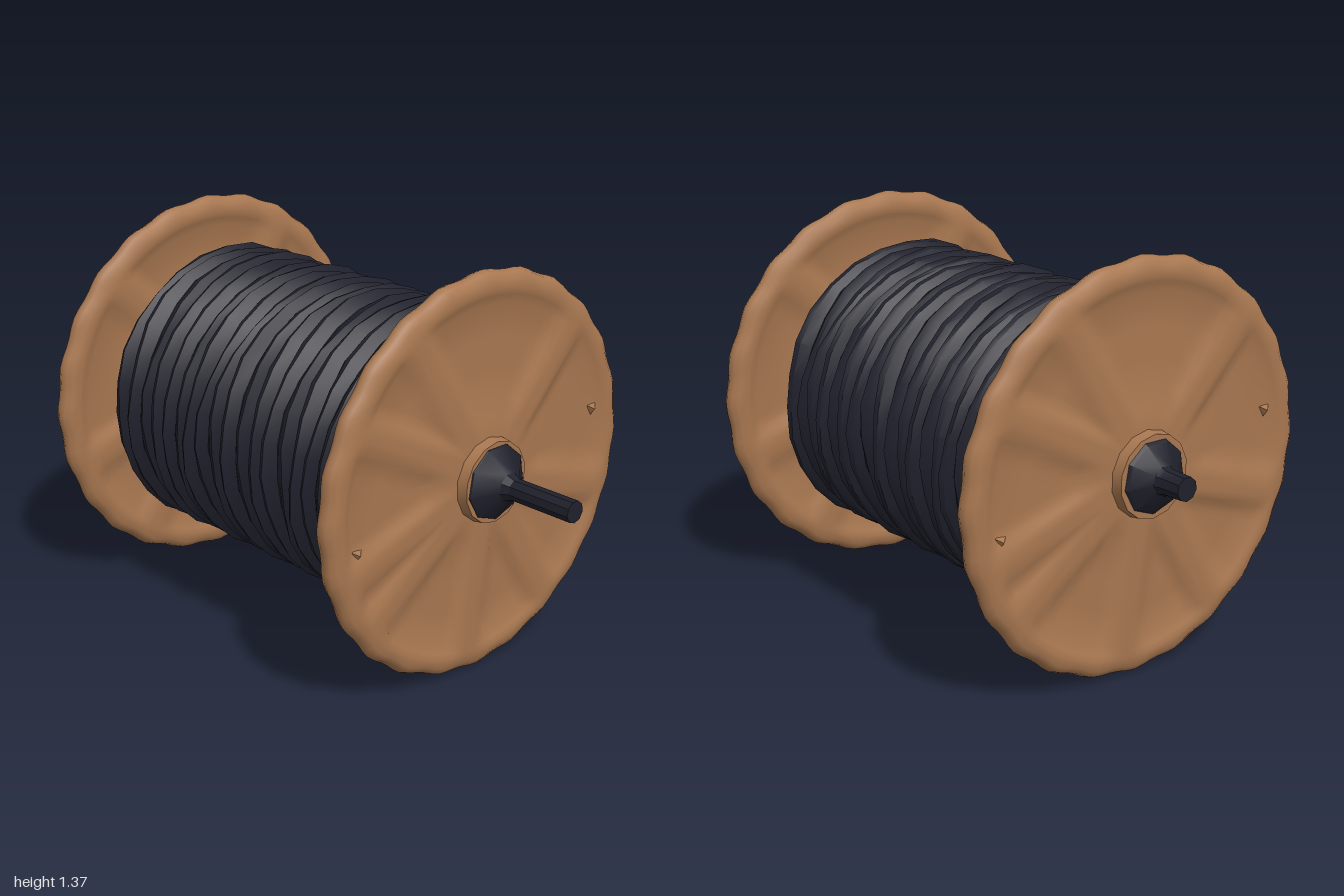
import * as THREE from 'three';
import { toCreasedNormals } from 'three/addons/utils/BufferGeometryUtils.js';

const AXIS_Y = 0.685;
const RAD = Math.PI / 180;

// Solid of revolution about z from [radius, z] points listed in rising z.
// An optional rule moves each vertex: rule(position, radius, angle).
function turned(points, sides, crease, rule) {
  const profile = points.map(([r, z]) => new THREE.Vector2(r, z));
  const geo = new THREE.LatheGeometry(profile, sides).rotateX(Math.PI / 2);
  if (rule) {
    const pos = geo.attributes.position;
    const p = new THREE.Vector3();
    for (let i = 0; i < pos.count; i++) {
      p.fromBufferAttribute(pos, i);
      rule(p, Math.hypot(p.x, p.y), Math.atan2(p.y, p.x));
      pos.setXYZ(i, p.x, p.y, p.z);
    }
  }
  return toCreasedNormals(geo, crease);
}

const smooth = THREE.MathUtils.smoothstep;

// Irregularly spaced spokes, in degrees
const SPOKES = [46, 121, 152, 198, 217, 264, 302, 342];

// Sink the panels between hub, rim and spokes on both faces of a flange
function sinkPanels(p, r, angle) {
  let gap = 180;
  for (const s of SPOKES) {
    const d = Math.abs(((angle / RAD - s + 540) % 360 + 360) % 360 - 180);
    gap = Math.min(gap, d);
  }
  const across = gap * RAD * r;
  const depth = 0.02 * smooth(across, 0.03, 0.09) * smooth(r, 0.17, 0.27) * (1 - smooth(r, 0.57, 0.62));
  p.z -= Math.sign(p.z) * depth;
}

function flangeGeometry() {
  const face = [[0, 0.048], [0.14, 0.048], [0.2, 0.046], [0.27, 0.045], [0.36, 0.043], [0.46, 0.041],
    [0.57, 0.039], [0.6, 0.039], [0.62, 0.038], [0.655, 0.034], [0.675, 0.02]];
  const back = face.map(([r, z]) => [r, -z]);
  return turned([...back, [0.683, 0], ...face.reverse()], 120, 0.8, (p, r, a) => {
    sinkPanels(p, r, a);
    // Rim worn into broad facets
    if (r > 0.64) {
      const step = 15 * RAD;
      const off = a - Math.round(a / step) * step;
      const k = 0.993 + 0.007 * Math.cos(off * 24);
      p.x *= k;
      p.y *= k;
    }
  });
}

// Wound cable: uneven ridges, each turn wandering slightly along the axis
function coilGeometry() {
  const front = 0.49, rear = -0.69, turns = 18;
  const pitch = (front - rear) / turns;
  const points = [[0, rear], [0.49, rear]];
  for (let i = 0; i < turns; i++) {
    const z = rear + i * pitch;
    const peak = 0.516 + 0.007 * Math.sin(i * 2.3);
    points.push([peak - 0.006, z + pitch * 0.3], [peak, z + pitch * 0.55]);
    if (i < turns - 1) points.push([0.488, z + pitch]);
  }
  points.push([0.49, front], [0, front]);
  return turned(points, 28, 0.55, (p, r, a) => {
    if (r < 0.1) return;
    const inner = smooth(p.z, rear, rear + 0.1) * (1 - smooth(p.z, front - 0.1, front));
    const k = 1 + 0.009 * Math.sin(a * 5 + p.z * 37) + 0.005 * Math.sin(a * 9 - p.z * 61);
    p.x *= k;
    p.y *= k;
    p.z += inner * (0.011 * Math.sin(a * 2 + p.z * 9) + 0.006 * Math.sin(a * 5 + p.z * 21));
  });
}

export function createModel() {
  const wood = new THREE.MeshStandardMaterial({ color: 0xa87750 });
  wood.name = 'brown wood';
  const dark = new THREE.MeshStandardMaterial({ color: 0x20202c });
  dark.name = 'dark cable';

  const model = new THREE.Group();
  model.name = 'cableSpool';
  const spool = new THREE.Group();
  spool.name = 'spool';
  spool.position.y = AXIS_Y;
  model.add(spool);

  function add(name, geo, mat, parent = spool) {
    const mesh = new THREE.Mesh(geo, mat);
    mesh.name = name;
    parent.add(mesh);
    return mesh;
  }

  // Cable and the core it is wound on
  add('cableCoil', coilGeometry(), dark);
  add('core', turned([[0, -0.73], [0.165, -0.73], [0.165, 0.55], [0, 0.55]], 14, 0.6), dark);

  // End flanges, each with a collar and small chips near the rim
  const disc = flangeGeometry();
  const collar = turned([[0, 0.03], [0.145, 0.03], [0.138, 0.085], [0, 0.085]], 14, 0.6);
  const chip = toCreasedNormals(new THREE.ConeGeometry(0.03, 0.025, 3).rotateX(Math.PI / 2), 0.1);
  for (const [name, z, turn] of [['frontFlange', 0.59, 0], ['rearFlange', -0.77, Math.PI]]) {
    const flange = new THREE.Group();
    flange.name = name;
    flange.position.z = z;
    flange.rotation.y = turn;
    spool.add(flange);
    add('disc', disc, wood, flange);
    add('collar', collar, wood, flange);
    for (const [x, y] of [[0.54, 0.1], [-0.55, -0.1]]) {
      add('chip', chip, wood, flange).position.set(x, y, 0.028);
    }
  }

  // Front axle: faceted nut running into a long shaft
  add('frontAxle', turned([[0, 0.66], [0.135, 0.66], [0.125, 0.68], [0.05, 0.735], [0.037, 0.76],
    [0.037, 1], [0, 1]], 9, 0.45), dark);

  // Rear axle: shorter nut and stub
  add('rearAxle', turned([[0, -1], [0.04, -1], [0.042, -0.92], [0.05, -0.905], [0.115, -0.865],
    [0.13, -0.845], [0, -0.845]], 9, 0.45), dark);

  return model;
}
